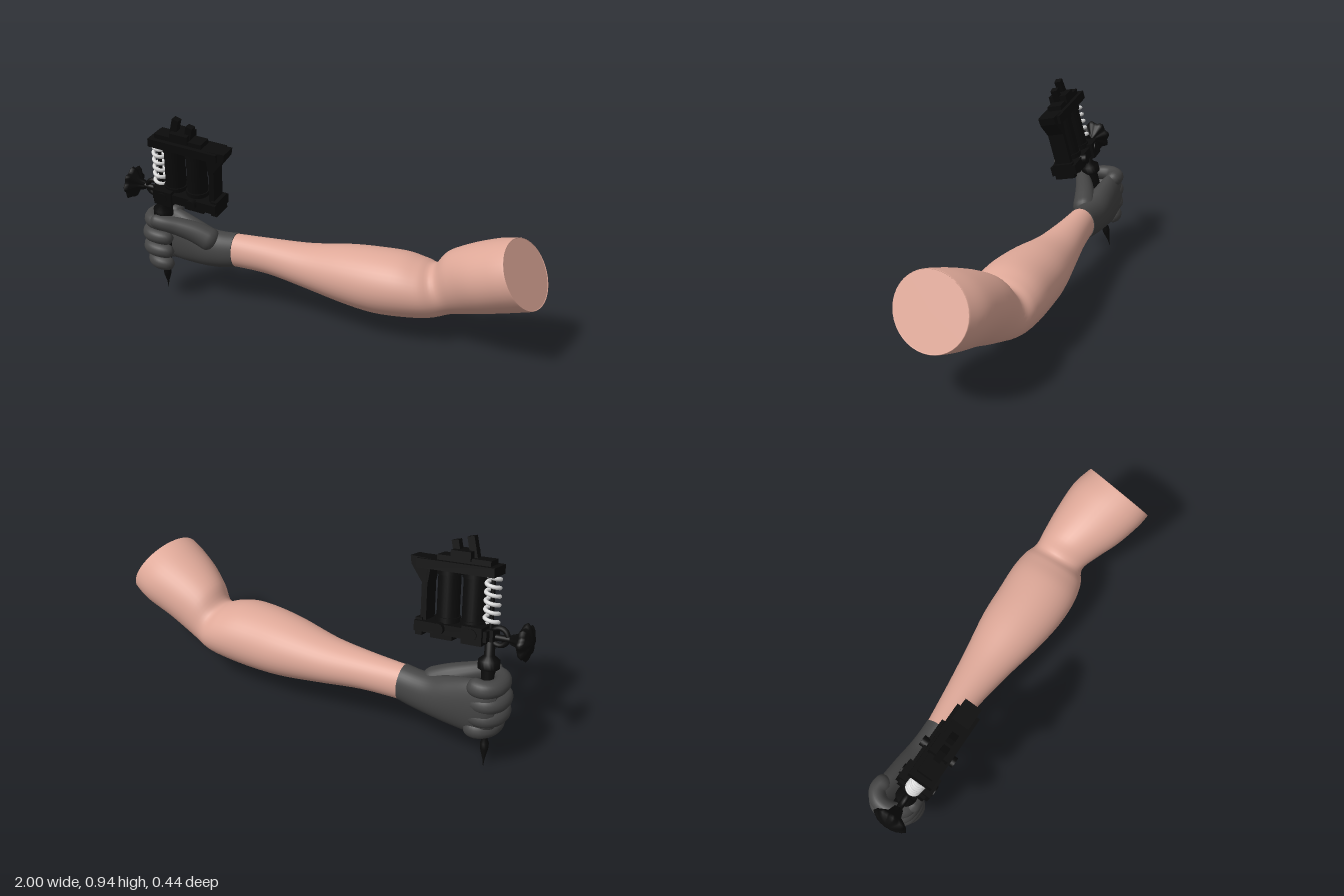
import * as THREE from 'three';
import { mergeVertices } from 'three/addons/utils/BufferGeometryUtils.js';

const mat = (name, color) => {
  const m = new THREE.MeshStandardMaterial({ color });
  m.name = name;
  return m;
};

// Smooth loft along +x. Section: [x, y, z, half height, half depth, lean in y, lean in z]
function loft(sections, steps = 5, sides = 40) {
  const pos = [], idx = [];
  const last = sections.length - 1;
  const at = (i, k) => sections[Math.max(0, Math.min(last, i))][k] ?? 0;
  const mix = (i, f, k) => {
    const a = at(i - 1, k), b = at(i, k), c = at(i + 1, k), d = at(i + 2, k);
    return b + 0.5 * f * (c - a + f * (2 * a - 5 * b + 4 * c - d + f * (3 * (b - c) + d - a)));
  };
  const rows = last * steps;
  const ring = (r) => {
    const i = Math.min(last - 1, Math.floor(r / steps)), f = r / steps - i;
    const [x, y, z, ry, rz, ky, kz] = [0, 1, 2, 3, 4, 5, 6].map((k) => mix(i, f, k));
    for (let j = 0; j < sides; j++) {
      const t = (j / sides) * Math.PI * 2;
      const dy = ry * Math.sin(t), dz = rz * Math.cos(t);
      pos.push(x - ky * dy - kz * dz, y + dy, z + dz);
    }
    return [x, y, z];
  };
  for (let r = 0; r <= rows; r++) ring(r);
  for (let r = 0; r < rows; r++) for (let j = 0; j < sides; j++) {
    const n = (j + 1) % sides, a = r * sides, b = a + sides;
    idx.push(a + j, b + j, b + n, a + j, b + n, a + n);
  }
  // flat end caps with their own corners
  for (const r of [0, rows]) {
    const base = pos.length / 3;
    const c = ring(r), mid = pos.length / 3;
    pos.push(...c);
    for (let j = 0; j < sides; j++) {
      const n = (j + 1) % sides;
      if (r) idx.push(mid, base + n, base + j);
      else idx.push(mid, base + j, base + n);
    }
  }
  const g = new THREE.BufferGeometry();
  g.setAttribute('position', new THREE.Float32BufferAttribute(pos, 3));
  g.setIndex(idx);
  g.computeVertexNormals();
  return g;
}

// Tapered tube with rounded ends
function digit(points, r0, r1) {
  const curve = new THREE.CatmullRomCurve3(points.map((p) => new THREE.Vector3(...p)));
  const n = 36, sides = 16, len = curve.getLength();
  const g = new THREE.TubeGeometry(curve, n, 1, sides, false);
  const p = g.attributes.position, v = new THREE.Vector3();
  for (let i = 0; i <= n; i++) {
    const u = i / n, c = curve.getPointAt(u), r = r0 + (r1 - r0) * u;
    const e = Math.max(0, 1 - (Math.min(u, 1 - u) * len) / r);
    const s = Math.max(0.002, r * Math.sqrt(1 - e * e));
    for (let j = 0; j <= sides; j++) {
      const k = i * (sides + 1) + j;
      v.fromBufferAttribute(p, k).sub(c).multiplyScalar(s).add(c);
      p.setXYZ(k, v.x, v.y, v.z);
    }
  }
  g.deleteAttribute('uv');
  g.deleteAttribute('normal');
  const m = mergeVertices(g, 1e-5);
  m.computeVertexNormals();
  return m;
}

export function createModel() {
  const skin = mat('skin', 0xdea898), rubber = mat('gloveGrey', 0x444444);
  const black = mat('blackMetal', 0x0b0b0b), steel = mat('springSteel', 0xdcdcdc);
  const model = new THREE.Group();
  model.name = 'armWithMachine';
  const add = (parent, name, geo, material, x = 0, y = 0, z = 0) => {
    const m = new THREE.Mesh(geo, material);
    m.name = name;
    m.position.set(x, y, z);
    parent.add(m);
    return m;
  };

  // Bare arm from wrist, through the bent elbow, to the cut upper arm
  add(model, 'arm', loft([
    [-0.49, 0.27, -0.075, 0.08, 0.067],
    [-0.3, 0.265, -0.075, 0.085, 0.085],
    [-0.1, 0.25, -0.07, 0.105, 0.115],
    [0.1, 0.245, -0.06, 0.135, 0.152],
    [0.25, 0.242, -0.05, 0.147, 0.167],
    [0.38, 0.243, -0.05, 0.143, 0.17, 0.1],
    [0.48, 0.24, -0.055, 0.127, 0.155, 0.25],
    [0.55, 0.247, -0.06, 0.108, 0.126, 0.42],
    [0.62, 0.293, -0.04, 0.13, 0.142, 0.45],
    [0.72, 0.338, -0.01, 0.14, 0.17, 0.45],
    [0.84, 0.38, 0.015, 0.146, 0.186, 0.45, 0.1],
    [0.918, 0.404, 0.038, 0.145, 0.178, 0.46, 0.2],
    [0.925, 0.407, 0.04, 0.141, 0.173, 0.46, 0.2],
  ]), skin);

  // Gloved hand: palm, thumb and four curled fingers
  const hand = new THREE.Group();
  hand.name = 'glovedHand';
  model.add(hand);
  add(hand, 'palm', loft([
    [-0.925, 0.305, -0.115, 0.08, 0.02],
    [-0.9, 0.305, -0.118, 0.11, 0.04],
    [-0.86, 0.303, -0.118, 0.124, 0.05],
    [-0.8, 0.293, -0.11, 0.126, 0.058],
    [-0.7, 0.275, -0.095, 0.11, 0.068],
    [-0.62, 0.262, -0.083, 0.094, 0.072],
    [-0.55, 0.262, -0.078, 0.088, 0.071],
    [-0.48, 0.27, -0.075, 0.084, 0.071],
  ]), rubber);
  add(hand, 'thumb', digit([
    [-0.57, 0.29, -0.06], [-0.67, 0.345, -0.03], [-0.75, 0.375, 0.0],
    [-0.82, 0.395, 0.03], [-0.88, 0.41, 0.04],
  ], 0.062, 0.032), rubber);
  [[0.4, 0], [0.33, 0.012], [0.262, 0.01], [0.2, -0.012]].forEach(([y, reach], i) => {
    const x = -reach;
    add(hand, 'finger' + (i + 1), digit([
      [-0.8, y, -0.12], [-0.87 + x, y + 0.002, -0.132], [-0.908 + x, y + 0.004, -0.1],
      [-0.914 + x, y + 0.002, -0.04], [-0.885 + x, y - 0.005, 0.012],
      [-0.83, y - 0.014, 0.022], [-0.785, y - 0.02, -0.005],
    ], 0.04, 0.033), rubber);
  });

  // Machine, built upright on its needle tip and then leaned
  const machine = new THREE.Group();
  machine.name = 'tattooMachine';
  const up = new THREE.Vector3(0.13, 1, 0.23).normalize();
  const side = new THREE.Vector3(1, -0.13, 0).normalize();
  const front = new THREE.Vector3().crossVectors(side, up).normalize();
  side.crossVectors(up, front);
  machine.quaternion.setFromRotationMatrix(new THREE.Matrix4().makeBasis(side, up, front));
  machine.position.set(-0.89, 0.002, -0.105);
  model.add(machine);
  const box = (name, w, h, d, x, y, z = 0) => add(machine, name, new THREE.BoxGeometry(w, h, d), black, x, y, z);
  const cyl = (name, r, h, x, y, z = 0, r2 = r) =>
    add(machine, name, new THREE.CylinderGeometry(r2, r, h, 24), black, x, y, z);

  // Needle, tip and grip in one turned profile
  add(machine, 'needleAndGrip', new THREE.LatheGeometry([
    [0, 0], [0.005, 0.04], [0.017, 0.085], [0.019, 0.11], [0.012, 0.13], [0.02, 0.17],
    [0.03, 0.2], [0.03, 0.43], [0.046, 0.44], [0.046, 0.475], [0.022, 0.495], [0.022, 0.57], [0, 0.57],
  ].map(([x, y]) => new THREE.Vector2(x, y)), 20), black);

  // Frame
  box('basePlate', 0.33, 0.045, 0.13, 0.155, 0.585);
  box('baseClamp', 0.09, 0.075, 0.16, 0.05, 0.585);
  box('baseStep', 0.1, 0.03, 0.1, 0.2, 0.555);
  box('baseHeel', 0.03, 0.075, 0.1, 0.305, 0.58);
  box('rearPost', 0.026, 0.27, 0.08, 0.29, 0.72);
  box('topPlate', 0.35, 0.04, 0.11, 0.15, 0.85);
  box('topBar', 0.24, 0.025, 0.07, 0.12, 0.88);
  const flare = new THREE.Shape([[0.26, 0.87], [0.36, 0.875], [0.355, 0.84], [0.305, 0.77], [0.275, 0.77]]
    .map(([x, y]) => new THREE.Vector2(x, y)));
  add(machine, 'rearFlare', new THREE.ExtrudeGeometry(flare, { depth: 0.08, bevelEnabled: false }), black, 0, 0, -0.04);

  // Coils with end washers
  for (const x of [0.08, 0.195]) {
    cyl('coil', 0.048, 0.23, x, 0.72);
    for (const y of [0.622, 0.822]) cyl('coilWasher', 0.054, 0.02, x, y);
  }
  // Side bolts on the base
  for (const x of [0.05, 0.2]) for (const s of [-1, 1]) {
    cyl('baseBolt', 0.024, 0.03, x, 0.59, s * 0.07).rotation.x = Math.PI / 2;
  }
  // Leaning contact posts on top
  for (const [x, y, h] of [[0.093, 0.925, 0.11], [0.165, 0.915, 0.085]]) {
    box('contactPost', 0.032, h, 0.032, x, y, 0.005).rotation.z = -0.22;
  }
  box('topBlock', 0.09, 0.04, 0.09, 0.13, 0.9);

  // Steel spring in front of the coils
  const helix = [];
  for (let i = 0; i <= 96; i++) {
    const t = (i / 96) * Math.PI * 2 * 6;
    helix.push(new THREE.Vector3(0.028 * Math.cos(t), 0.62 + 0.215 * (i / 96), 0.028 * Math.sin(t)));
  }
  add(machine, 'spring', new THREE.TubeGeometry(new THREE.CatmullRomCurve3(helix), 160, 0.009, 8), steel);
  cyl('springCore', 0.009, 0.24, 0, 0.73);

  // Tube clamp ring, screw and scalloped knob
  add(machine, 'clampRing', new THREE.TorusGeometry(0.036, 0.012, 10, 24), black, -0.04, 0.58);
  box('clampBlock', 0.06, 0.05, 0.07, 0.005, 0.585);
  cyl('knobScrew', 0.014, 0.14, -0.09, 0.575).rotation.z = Math.PI / 2;
  const knob = new THREE.LatheGeometry([
    [0, -0.06], [0.02, -0.06], [0.03, -0.03], [0.07, -0.008], [0.08, 0.008], [0.065, 0.02], [0.035, 0.03], [0, 0.034],
  ].map(([x, y]) => new THREE.Vector2(x, y)), 48);
  const kp = knob.attributes.position;
  for (let i = 0; i < kp.count; i++) {
    const x = kp.getX(i), z = kp.getZ(i), s = 0.95 + 0.08 * Math.cos(8 * Math.atan2(z, x));
    kp.setXYZ(i, x * s, kp.getY(i), z * s);
  }
  knob.computeVertexNormals();
  add(machine, 'knob', knob, black, -0.15, 0.575).rotation.z = Math.PI / 2;

  return model;
}
